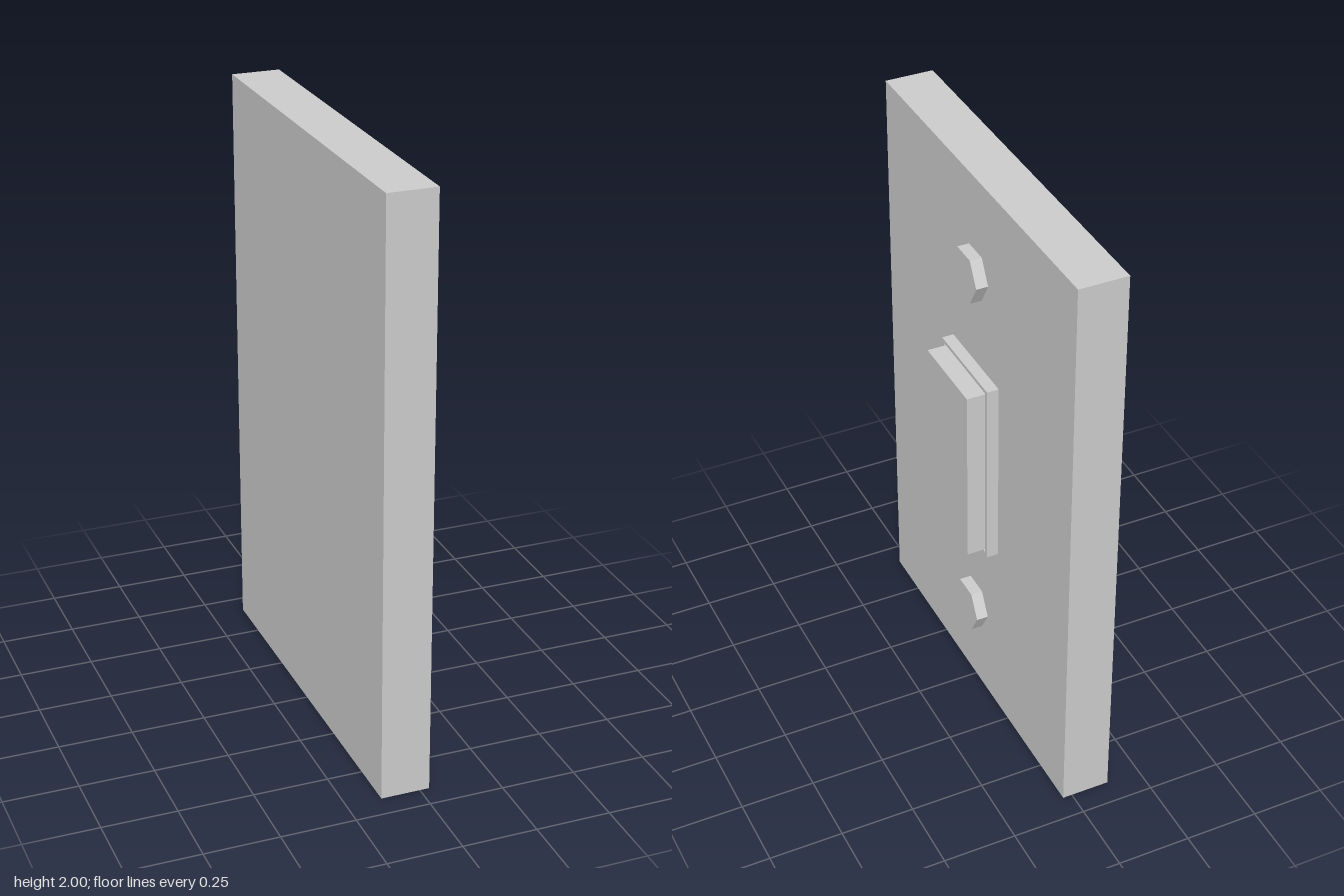
import * as THREE from 'three';

const FACE = 0.032; // x of the plate's outer face

export function createModel() {
  const group = new THREE.Group();
  const material = new THREE.MeshStandardMaterial({ color: 0xcccccc, flatShading: true });

  const add = (name, geometry, x, y) => {
    const mesh = new THREE.Mesh(geometry, material);
    mesh.name = name;
    mesh.position.set(x, y, 0);
    group.add(mesh);
  };

  // Wall plate
  add('wallPlate', new THREE.BoxGeometry(0.164, 2, 1.333), FACE - 0.082, 1);

  // Thin raised frame with an opening for the rocker
  const rectangle = (path, w, h) => {
    path.moveTo(-w / 2, -h / 2);
    path.lineTo(w / 2, -h / 2);
    path.lineTo(w / 2, h / 2);
    path.lineTo(-w / 2, h / 2);
    path.closePath();
    return path;
  };
  const outline = rectangle(new THREE.Shape(), 0.333, 0.665);
  outline.holes.push(rectangle(new THREE.Path(), 0.307, 0.64));
  const frame = new THREE.ExtrudeGeometry(outline, { depth: 0.04, bevelEnabled: false });
  frame.rotateY(Math.PI / 2);
  add('switchFrame', frame, FACE, 1);

  // Rocker sitting in the frame
  add('rocker', new THREE.BoxGeometry(0.1, 0.625, 0.295), FACE + 0.05, 1);

  // Hexagonal screw heads above and below
  for (const [name, y] of [['upperScrew', 1.667], ['lowerScrew', 0.333]]) {
    const screw = new THREE.CylinderGeometry(0.09, 0.09, 0.04, 6);
    screw.rotateZ(-Math.PI / 2);
    add(name, screw, FACE + 0.02, y);
  }

  return group;
}
